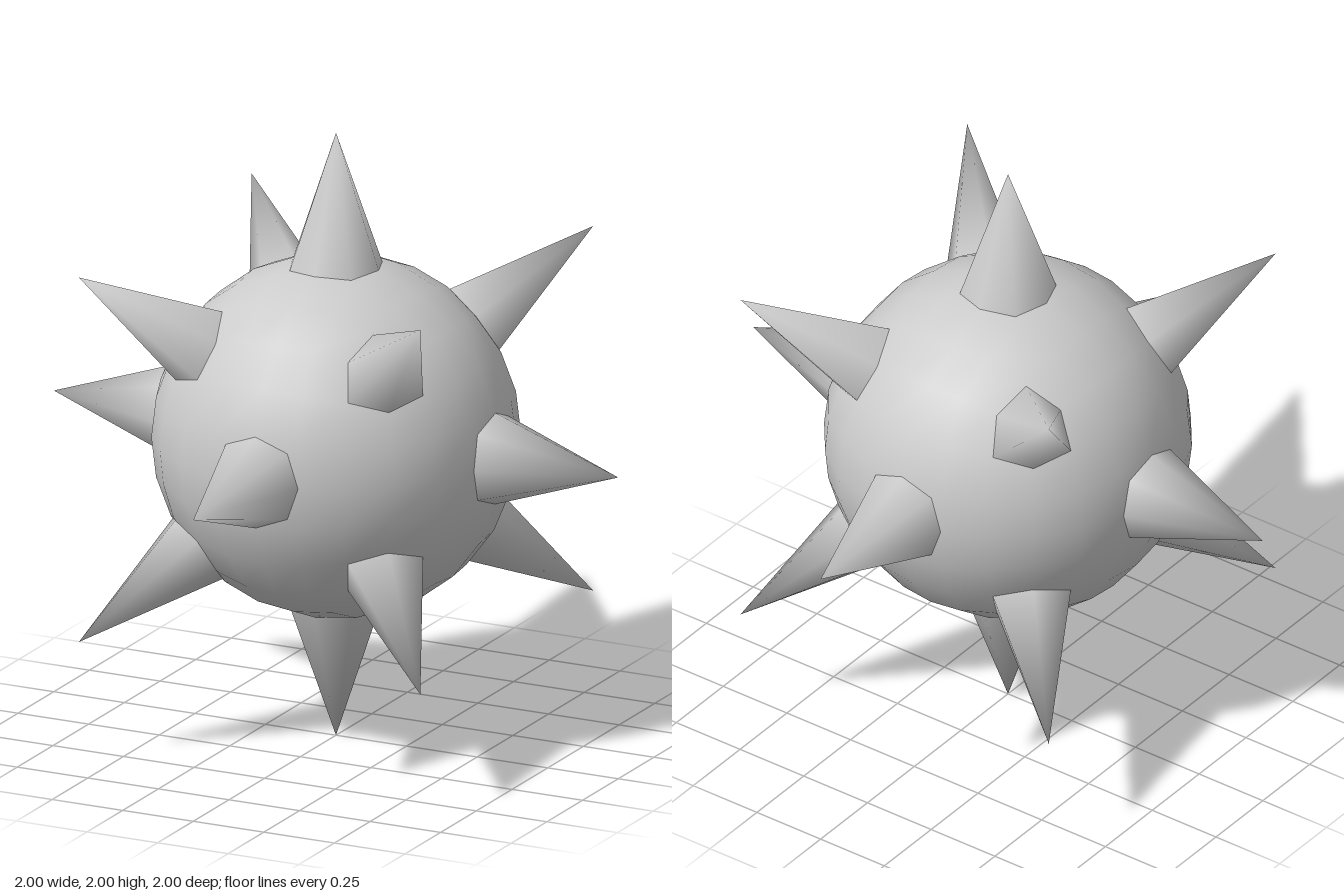
import * as THREE from 'three';
import { mergeVertices } from 'three/addons/utils/BufferGeometryUtils.js';

const R = 0.585;
const material = new THREE.MeshStandardMaterial({ color: 0xcccccc });

// Round body: a gridded cube pushed out to a sphere
function makeBody() {
  let geo = new THREE.BoxGeometry(2, 2, 2, 6, 6, 6);
  geo.deleteAttribute('uv');
  geo.deleteAttribute('normal');
  geo = mergeVertices(geo);
  const p = geo.attributes.position;
  const v = new THREE.Vector3();
  const even = (t) => Math.tan((t * Math.PI) / 4);
  for (let i = 0; i < p.count; i++) {
    v.fromBufferAttribute(p, i);
    v.set(even(v.x), even(v.y), even(v.z)).setLength(R);
    p.setXYZ(i, v.x, v.y, v.z);
  }
  geo.computeVertexNormals();
  return geo;
}

// Spike along +y; ring holds [radius, height] for even and odd base corners
function makeSpike(sides, tip, ring) {
  let geo = new THREE.ConeGeometry(1, 1, sides, 1, true);
  geo.deleteAttribute('uv');
  geo.deleteAttribute('normal');
  const p = geo.attributes.position;
  const sink = 1.06; // carry the base a little into the body
  for (let i = 0; i < p.count; i++) {
    if (p.getY(i) > 0) {
      p.setXYZ(i, 0, tip, 0);
      continue;
    }
    const a = Math.atan2(p.getX(i), p.getZ(i));
    const k = Math.abs(Math.round((a * sides) / (2 * Math.PI))) % 2;
    const [r, h] = ring[k];
    p.setXYZ(i, Math.sin(a) * r * sink, tip - (tip - h) * sink, Math.cos(a) * r * sink);
  }
  geo = mergeVertices(geo);
  geo.computeVertexNormals();
  return geo;
}

export function createModel() {
  const model = new THREE.Group();
  model.name = 'spikedBall';

  const add = (geo, name) => {
    const mesh = new THREE.Mesh(geo, material);
    mesh.name = name;
    mesh.position.y = 1;
    model.add(mesh);
    return mesh;
  };

  // Turn a spike outward, one base corner facing the hint direction
  const aim = (mesh, dir, hint) => {
    const y = dir.clone().normalize();
    const z = hint.clone().addScaledVector(y, -hint.dot(y)).normalize();
    const x = new THREE.Vector3().crossVectors(y, z);
    mesh.quaternion.setFromRotationMatrix(new THREE.Matrix4().makeBasis(x, y, z));
  };

  add(makeBody(), 'body');

  // Six eight-sided spikes on the axes
  const axisSpike = makeSpike(8, 1, [[0.153, 0.56], [0.153, 0.56]]);
  for (let axis = 0; axis < 3; axis++) {
    for (const s of [-1, 1]) {
      const dir = new THREE.Vector3().setComponent(axis, s);
      const hint = new THREE.Vector3().setComponent((axis + 1) % 3, 1);
      aim(add(axisSpike, 'axisSpike'), dir, hint);
    }
  }

  // Eight six-sided spikes on the diagonals
  const cornerSpike = makeSpike(6, 1.048, [[0.116, 0.58], [0.143, 0.568]]);
  for (const x of [-1, 1]) for (const y of [-1, 1]) for (const z of [-1, 1]) {
    aim(add(cornerSpike, 'cornerSpike'), new THREE.Vector3(x, y, z), new THREE.Vector3(0, 0, -z));
  }

  return model;
}
